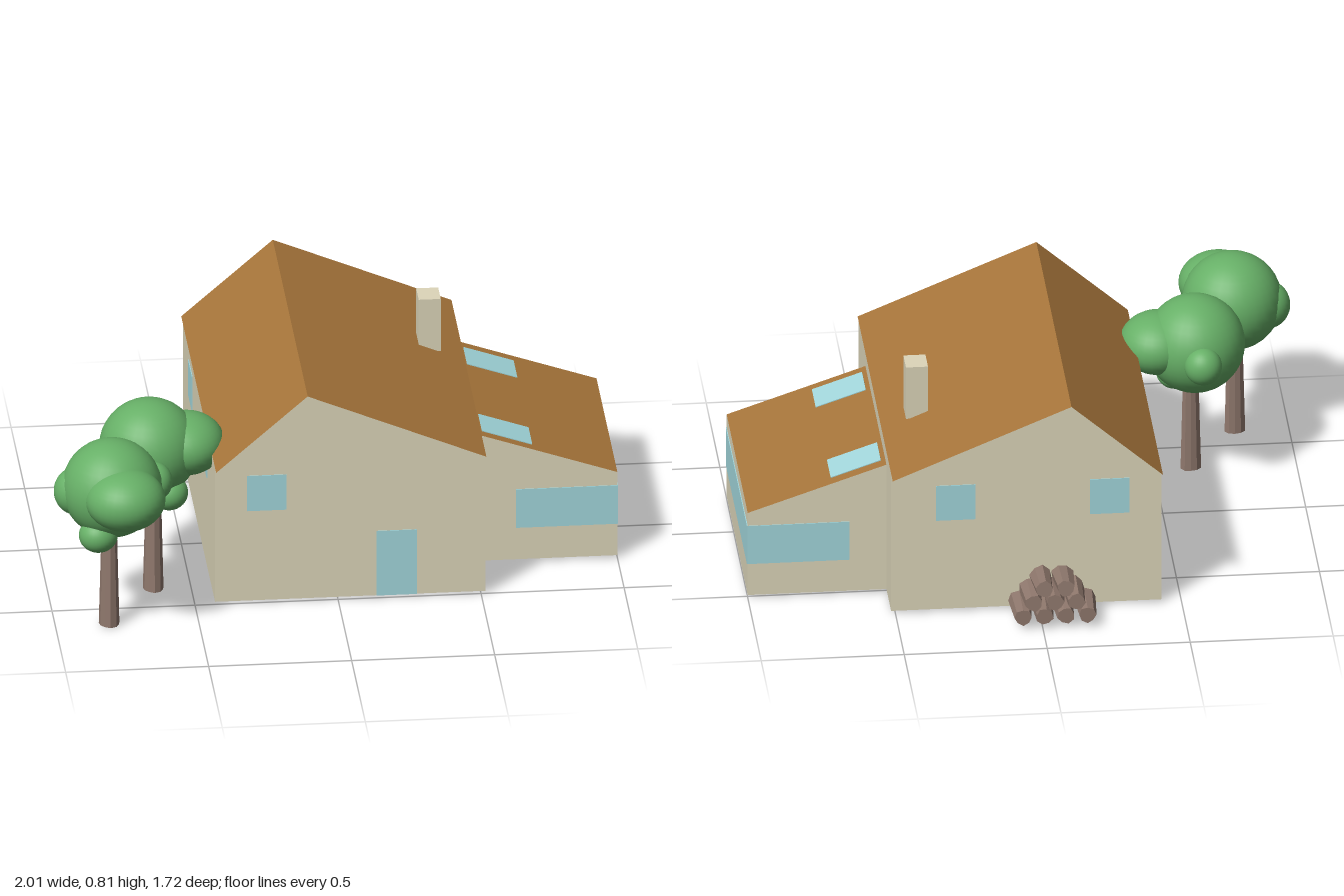
import * as THREE from 'three';

const paint = (color, opts = {}) => new THREE.MeshStandardMaterial({ color, ...opts });
const wallMat = paint(0xddd6ba, { side: THREE.DoubleSide });
const roofMat = paint(0xa8763b, { side: THREE.DoubleSide });
const glassMat = paint(0xa3d8dd);
const matMat = paint(0x000000, { side: THREE.DoubleSide });
const leafMat = paint(0x67b067);
const woodMat = paint(0x8f786d, { flatShading: true });

const BASE = 0.01;

function add(parent, name, geometry, material, x = 0, y = 0, z = 0) {
  const mesh = new THREE.Mesh(geometry, material);
  mesh.name = name;
  mesh.position.set(x, y, z);
  parent.add(mesh);
  return mesh;
}

// flat convex polygon from its corners, counter-clockwise seen from outside
function panel(parent, name, corners, material) {
  const pos = [];
  for (let i = 1; i < corners.length - 1; i++) pos.push(...corners[0], ...corners[i], ...corners[i + 1]);
  const g = new THREE.BufferGeometry();
  g.setAttribute('position', new THREE.Float32BufferAttribute(pos, 3));
  g.computeVertexNormals();
  return add(parent, name, g, material);
}

// the same outline as a front wall and as a back wall
function endWalls(parent, name, outline, zFront, zBack) {
  panel(parent, name + 'Front', outline.map(([x, y]) => [x, y, zFront]), wallMat);
  panel(parent, name + 'Back', outline.map(([x, y]) => [x, y, zBack]).reverse(), wallMat);
}

// upright wall facing +x (dir 1) or -x (dir -1)
function sideWall(parent, name, x, y0, y1, z0, z1, dir) {
  const c = [[x, y0, z1], [x, y0, z0], [x, y1, z0], [x, y1, z1]];
  panel(parent, name, dir > 0 ? c : c.reverse(), wallMat);
}

// sloping roof strip between two x positions
function slope(parent, name, [xa, ya], [xb, yb], z0, z1) {
  panel(parent, name, [[xa, ya, z1], [xb, yb, z1], [xb, yb, z0], [xa, ya, z0]], roofMat);
}

// thin pane set in a wall, seen from both sides
function pane(parent, name, x0, x1, y0, y1, z0, z1) {
  const t = 0.006;
  const g = new THREE.BoxGeometry(Math.max(x1 - x0, t), Math.max(y1 - y0, t), Math.max(z1 - z0, t));
  return add(parent, name, g, glassMat, (x0 + x1) / 2, (y0 + y1) / 2, (z0 + z1) / 2);
}

function buildHouse() {
  const house = new THREE.Group();
  house.name = 'house';
  const L = -0.43, R = 0.515, F = 0.5, B = -0.68;
  const eaveL = [L, 0.525], ridge = [-0.11, 0.805], eaveR = [R, 0.545];
  const extF = 0.255, extB = -0.51, extTop = [R, 0.495], extLow = [1, 0.33];

  // main walls, open on the right where the extension joins
  endWalls(house, 'gableWall', [[L, BASE], [R, BASE], eaveR, ridge, eaveL], F, B);
  sideWall(house, 'leftWall', L, BASE, eaveL[1], B, F, -1);
  sideWall(house, 'rightWallFront', R, BASE, eaveR[1], extF, F, 1);
  sideWall(house, 'rightWallBack', R, BASE, eaveR[1], B, extB, 1);
  sideWall(house, 'rightWallAbove', R, extTop[1], eaveR[1], extB, extF, 1);

  // main roof with overhanging gables
  slope(house, 'roofLeft', eaveL, ridge, -0.74, 0.54);
  slope(house, 'roofRight', ridge, eaveR, -0.74, 0.54);
  add(house, 'chimney', new THREE.BoxGeometry(0.077, 0.2, 0.094), wallMat, 0.392, 0.685, -0.295);

  // extension
  endWalls(house, 'extensionWall', [[R, BASE], [1, BASE], extLow, extTop], extF, extB);
  sideWall(house, 'extensionSide', 1, BASE, extLow[1], extB, extF, 1);
  slope(house, 'extensionRoof', extTop, extLow, extB, extF);

  // windows and door
  pane(house, 'frontWindow', -0.318, -0.18, 0.355, 0.49, F, F);
  pane(house, 'door', 0.135, 0.275, BASE, 0.258, F, F);
  for (const x of [-0.318, 0.22]) pane(house, 'backWindow', x, x + 0.138, 0.355, 0.49, B, B);
  for (const z of [-0.46, 0.085]) pane(house, 'leftWindow', L, L, 0.355, 0.49, z, z + 0.137);
  for (const z of [extF, extB]) pane(house, 'extensionEndWindow', 0.645, 1, 0.132, 0.28, z, z);
  pane(house, 'extensionSideWindow', 1, 1, 0.132, 0.28, extB, extF);
  for (const z of [-0.398, 0.148]) {
    const skylight = add(house, 'skylight', new THREE.BoxGeometry(0.185, 0.006, 0.137), glassMat, 0.6175, 0.46, z);
    skylight.rotation.z = -Math.atan2(0.165, 0.485);
  }

  // mat just inside the door, facing the ground
  panel(house, 'doorMat', [[0.135, BASE, 0.36], [0.275, BASE, 0.36], [0.275, BASE, 0.497], [0.135, BASE, 0.497]], matMat);
  return house;
}

// tapered wooden stick with slightly uneven sides
function stick(rTop, rBottom, height, sides) {
  const g = new THREE.CylinderGeometry(rTop, rBottom, height, sides);
  const p = g.attributes.position;
  for (let i = 0; i < p.count; i++) {
    const x = p.getX(i), z = p.getZ(i);
    const k = 1 + 0.08 * Math.sin(Math.atan2(Math.abs(x) < 1e-6 ? 0 : x, z) * 3 + 1);
    p.setX(i, x * k);
    p.setZ(i, z * k);
  }
  return g;
}

// crown centre on the ground plane, crown turn, and trunk offset
function buildTree(x, z, turn, trunkX, trunkZ) {
  const tree = new THREE.Group();
  tree.name = 'tree';
  tree.position.set(x, 0, z);
  add(tree, 'trunk', stick(0.026, 0.036, 0.4, 10), woodMat, trunkX, 0.2, trunkZ);
  const crown = new THREE.Group();
  crown.name = 'crown';
  crown.rotation.y = turn;
  tree.add(crown);
  // centre, then radii
  const blobs = [
    [0, 0.515, 0, 0.175, 0.175, 0.175],
    [0.035, 0.525, 0.125, 0.14, 0.108, 0.135],
    [-0.122, 0.5, -0.015, 0.08, 0.085, 0.08],
    [0.155, 0.505, -0.055, 0.062, 0.068, 0.066],
    [-0.055, 0.372, 0.08, 0.068, 0.062, 0.066],
  ];
  for (const [bx, by, bz, rx, ry, rz] of blobs) {
    add(crown, 'foliage', new THREE.SphereGeometry(1, 32, 20), leafMat, bx, by, bz).scale.set(rx, ry, rz);
  }
  return tree;
}

// stacked logs against the back wall
function buildLogPile() {
  const pile = new THREE.Group();
  pile.name = 'logPile';
  [4, 3, 2].forEach((count, row) => {
    for (let i = 0; i < count; i++) {
      const x = -0.043 + (i - (count - 1) / 2) * 0.075;
      const log = add(pile, 'log', stick(0.039, 0.03, 0.14, 8), woodMat, x, 0.05 + row * 0.047, -0.785 + row * 0.004);
      log.rotation.set(Math.PI / 2 + 0.06 * row, 0, 0);
      log.rotateY(i * 1.3 + row);
    }
  });
  return pile;
}

export function createModel() {
  const model = new THREE.Group();
  model.name = 'houseWithTrees';
  model.add(buildHouse(), buildTree(-0.8, 0.6, 0, -0.01, 0.02), buildTree(-0.64, 0.285, 1.31, 0.01, 0.065), buildLogPile());
  return model;
}
